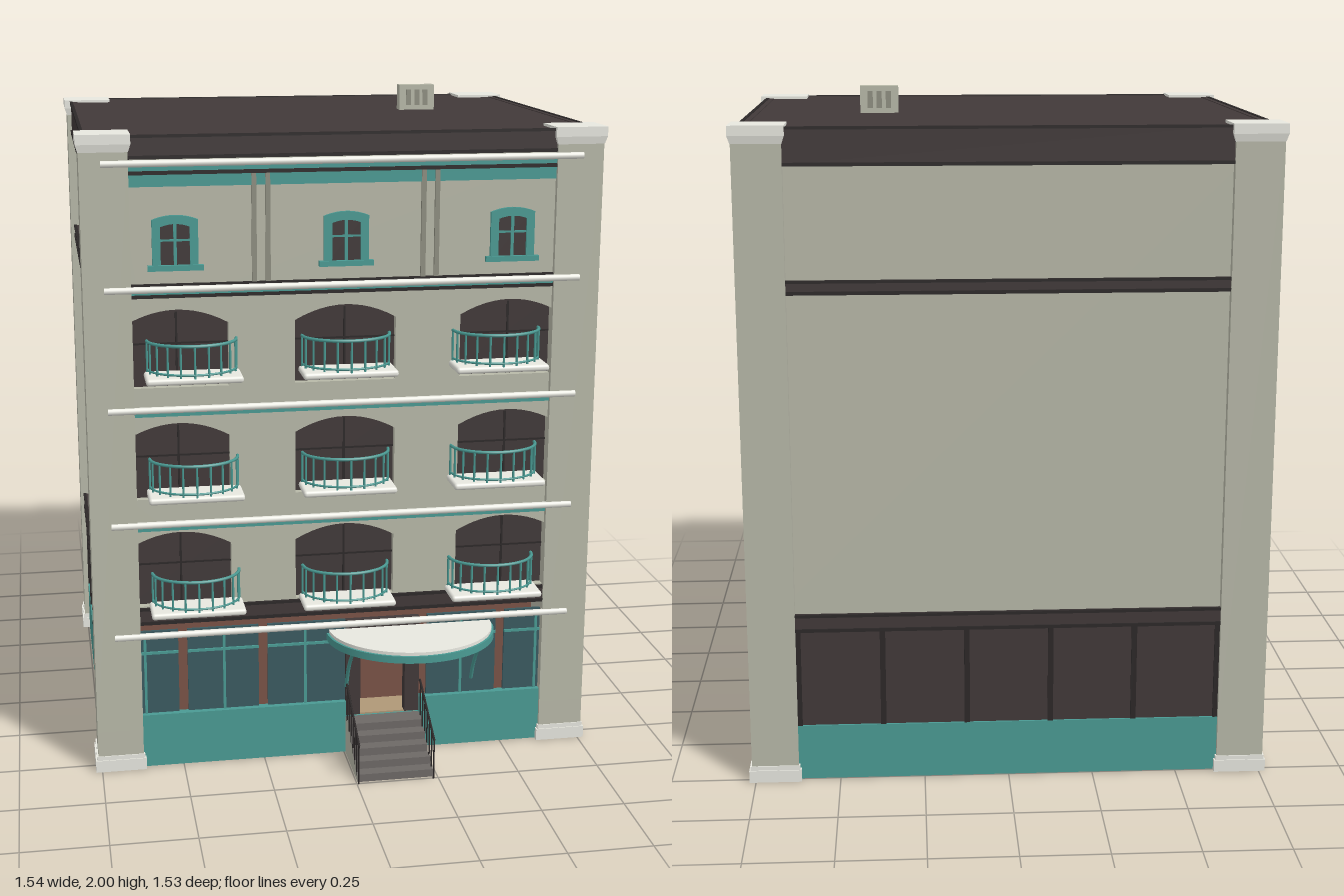
import * as THREE from 'three';
import { RoundedBoxGeometry } from 'three/addons/geometries/RoundedBoxGeometry.js';

const mat = (name, color) => {
  const m = new THREE.MeshStandardMaterial({ color });
  m.name = name;
  return m;
};

export function createModel() {
  const stone = mat('stone', 0xb7b8a8), shadeStone = mat('shadedStone', 0x8e8e80);
  const pale = mat('paleStone', 0xe7e7df), dark = mat('charcoal', 0x413939);
  const trim = mat('blackTrim', 0x2c2828), teal = mat('teal', 0x4a9a93);
  const brick = mat('redBrown', 0x7a5246), glass = mat('shopGlass', 0x3a5a60);
  const floorMat = mat('floorBrown', 0xaf9877), stepMat = mat('stepGrey', 0x6d6966);

  const model = new THREE.Group();
  model.name = 'cornerHotel';
  const group = (name, parent = model) => {
    const g = new THREE.Group();
    g.name = name;
    parent.add(g);
    return g;
  };
  const add = (parent, name, geo, m, x = 0, y = 0, z = 0) => {
    const mesh = new THREE.Mesh(geo, m);
    mesh.name = name;
    mesh.position.set(x, y, z);
    parent.add(mesh);
    return mesh;
  };
  // Box given by its limits on each axis
  const box = (parent, name, m, x0, x1, y0, y1, z0, z1) =>
    add(parent, name, new THREE.BoxGeometry(Math.abs(x1 - x0), y1 - y0, Math.abs(z1 - z0)), m,
      (x0 + x1) / 2, (y0 + y1) / 2, (z0 + z1) / 2);
  const tube = (parent, name, m, pts, r, n = 20) =>
    add(parent, name, new THREE.TubeGeometry(new THREE.CatmullRomCurve3(
      pts.map(p => new THREE.Vector3(...p))), n, r, 6), m);
  // Rectangular tapered block with flat faces
  const taper = (w0, d0, w1, d1, h) => {
    const g = new THREE.BoxGeometry(1, h, 1).toNonIndexed();
    const p = g.attributes.position;
    for (let i = 0; i < p.count; i++) {
      const top = p.getY(i) > 0;
      p.setX(i, p.getX(i) * (top ? w1 : w0));
      p.setZ(i, p.getZ(i) * (top ? d1 : d0));
    }
    g.computeVertexNormals();
    return g;
  };

  // Core, roof and hollow underside
  box(model, 'upperCore', stone, -0.73, 0.73, 0.468, 1.9, -0.74, 0.49);
  box(model, 'shopCore', brick, -0.72, 0.72, 0.125, 0.468, -0.73, 0.42);
  box(model, 'roof', dark, -0.742, 0.742, 1.895, 1.92, -0.75, 0.53);
  box(model, 'floor', floorMat, -0.73, 0.73, 0.117, 0.125, -0.74, 0.525);
  box(model, 'innerFront', brick, -0.73, 0.73, 0.001, 0.12, 0.514, 0.521);
  box(model, 'innerBack', brick, -0.73, 0.73, 0.001, 0.12, -0.74, -0.733);
  for (const s of [-1, 1]) box(model, 'innerSide', brick, s * 0.723, s * 0.73, 0.001, 0.12, -0.74, 0.52);
  for (let i = 0; i < 4; i++)
    box(model, 'innerGlassStrip', glass, -0.41 + i * 0.22, -0.2 + i * 0.22, 0.08, 0.118, 0.511, 0.514);
  box(model, 'chimney', stone, 0.305, 0.42, 1.91, 2, -0.222, -0.18);
  for (const x of [0.335, 0.363, 0.39])
    box(model, 'chimneySlot', shadeStone, x - 0.008, x + 0.008, 1.935, 1.985, -0.2235, -0.1785);

  // Corner piers: solid shaft and cap above, an outer shell around the hollow base
  for (const sx of [-1, 1]) for (const sz of [-1, 1]) {
    const g = group('cornerPier');
    g.position.set(sx * 0.692, 0, -0.11 + sz * 0.593);
    const shell = (name, m, w, d, y0, y1) => {
      box(g, name + 'Side', m, sx * 0.038, sx * w, y0, y1, -d, d);
      box(g, name + 'Face', m, -w, w, y0, y1, sz * 0.038, sz * d);
    };
    shell('plinth', pale, 0.077, 0.068, 0, 0.037);
    shell('plinthStep', pale, 0.073, 0.065, 0.037, 0.05);
    shell('lowerShaft', stone, 0.069, 0.062, 0.05, 0.13);
    box(g, 'shaft', stone, -0.069, 0.069, 0.13, 1.89, -0.062, 0.062);
    add(g, 'capTaper', taper(0.14, 0.126, 0.154, 0.136, 0.022), pale, 0, 1.889, 0);
    add(g, 'cap', new THREE.BoxGeometry(0.154, 0.028, 0.136), pale, 0, 1.914, 0);
  }

  // Dark band with thin lips, shared by every facade
  const band = (g, h, y0, y1, z) => {
    box(g, 'band', dark, -h, h, y0, y1, z - 0.01, z + 0.012);
    box(g, 'bandLowerLip', trim, -h, h, y0 - 0.004, y0 + 0.006, z - 0.01, z + 0.016);
    box(g, 'bandUpperLip', trim, -h, h, y1 - 0.006, y1 + 0.002, z + 0.006, z + 0.016);
  };
  // Plain facade facing +z, with five base panels
  const plainFacade = (name, h, x, z, turn) => {
    const g = group(name);
    g.position.set(x, 0, z);
    g.rotation.y = turn;
    box(g, 'basePlinth', teal, -h, h, 0.002, 0.17, -0.005, 0.01);
    box(g, 'basePanels', dark, -h, h, 0.17, 0.465, -0.015, 0.004);
    for (let i = 0; i <= 5; i++) {
      const p = -h + 0.008 + i * (2 * h - 0.016) / 5;
      box(g, 'panelStrip', trim, p - 0.008, p + 0.008, 0.17, 0.465, -0.015, 0.01);
    }
    band(g, h, 0.468, 0.515, 0);
    band(g, h, 1.463, 1.498, 0);
    band(g, h, 1.82, 1.922, 0);
  };
  plainFacade('rightFacade', 0.54, 0.735, -0.11, Math.PI / 2);
  plainFacade('leftFacade', 0.54, -0.735, -0.11, -Math.PI / 2);
  plainFacade('backFacade', 0.625, 0, -0.743, Math.PI);

  // Front wall with arched openings
  const front = group('frontFacade');
  const arch = (P, x, y0, y1, y2, w) => {
    const s = new P();
    s.moveTo(x - w, y0);
    s.lineTo(x + w, y0);
    s.lineTo(x + w, y1);
    s.quadraticCurveTo(x, 2 * y2 - y1, x - w, y1);
    s.closePath();
    return s;
  };
  const wall = new THREE.Shape([[-0.66, 0.5], [0.66, 0.5], [0.66, 1.86], [-0.66, 1.86]]
    .map(p => new THREE.Vector2(...p)));
  const floors = [0.52, 0.855, 1.193], columns = [-0.495, 0, 0.495];
  for (const y of floors) for (const x of columns)
    wall.holes.push(arch(THREE.Path, x, y, y + 0.188, y + 0.23, 0.15));
  add(front, 'frontWall', new THREE.ExtrudeGeometry(wall, { depth: 0.035, bevelEnabled: false, curveSegments: 12 }),
    stone, 0, 0, 0.493);
  box(front, 'windowBacking', dark, -0.66, 0.66, 0.515, 1.44, 0.488, 0.505);

  // Balconies and arched window bars
  floors.forEach((y, f) => columns.forEach(x => {
    box(front, 'windowBar', trim, x - 0.003, x + 0.003, y, y + 0.22, 0.504, 0.509);
    box(front, 'windowTransom', trim, x - 0.15, x + 0.15, y + 0.125, y + 0.13, 0.504, 0.509);
    const g = group('balcony', front);
    g.position.set(x * 0.915, [0.513, 0.868, 1.223][f], 0.53);
    add(g, 'balconySlab', new RoundedBoxGeometry(0.28, 0.02, 0.115, 3, 0.009), pale, 0, 0.01, 0.045);
    const at = (a, h) => [-0.13 * Math.cos(a), h, 0.1 * Math.sin(a)];
    const ring = h => Array.from({ length: 13 }, (_, i) => at(i * Math.PI / 12, h));
    tube(g, 'topRail', teal, ring(0.112), 0.005, 28);
    tube(g, 'bottomRail', teal, ring(0.028), 0.0035, 28);
    for (let i = 0; i <= 10; i++) {
      const p = at(i * Math.PI / 10, 0.065);
      add(g, 'baluster', new THREE.CylinderGeometry(0.0035, 0.0035, 0.095, 6), teal, ...p);
    }
  }));

  // Rounded string courses
  for (const y of [0.43, 0.78, 1.13, 1.485, 1.845]) {
    const bar = new THREE.CylinderGeometry(0.01, 0.01, 1.4, 16).rotateZ(Math.PI / 2);
    add(front, 'stringCourse', bar, pale, 0, y, 0.543);
    if (y > 0.5) box(front, 'courseUnderTrim', teal, -0.625, 0.625, y - 0.022, y - 0.01, 0.52, 0.536);
  }
  band(front, 0.625, 1.463, 1.498, 0.522);
  band(front, 0.625, 1.86, 1.922, 0.522);
  band(front, 0.625, 0.468, 0.515, 0.524);
  box(front, 'tealFrieze', teal, -0.625, 0.625, 1.778, 1.812, 0.52, 0.534);
  box(front, 'friezeLine', trim, -0.625, 0.625, 1.812, 1.822, 0.52, 0.538);

  // Attic pilasters and small windows
  for (const s of [-1, 1]) for (const dx of [-0.02, 0.02])
    box(front, 'pilaster', shadeStone, s * 0.248 + dx - 0.007, s * 0.248 + dx + 0.007, 1.5, 1.812, 0.52, 0.536);
  for (const x of columns) {
    const g = group('atticWindow', front);
    const frame = arch(THREE.Shape, 0, 0, 0.132, 0.145, 0.066);
    frame.holes.push(arch(THREE.Path, 0, 0.002, 0.112, 0.12, 0.042));
    add(g, 'windowFrame', new THREE.ExtrudeGeometry(frame, { depth: 0.012, bevelEnabled: false }), teal);
    box(g, 'windowPane', dark, -0.05, 0.05, 0.002, 0.125, 0, 0.005);
    box(g, 'mullion', teal, -0.0045, 0.0045, 0, 0.12, 0.002, 0.009);
    box(g, 'windowCrossbar', teal, -0.044, 0.044, 0.07, 0.076, 0.002, 0.009);
    box(g, 'windowSill', teal, -0.08, 0.08, -0.014, 0.002, 0, 0.018);
    g.position.set(x, 1.552, 0.526);
  }

  // Shop front: glass panels with gaps that show the brown core behind
  const shop = group('shopFront');
  box(shop, 'shopBase', teal, -0.625, 0.625, 0.002, 0.12, 0.52, 0.535);
  for (const [a, b] of [[-0.625, 0.005], [0.235, 0.625]])
    box(shop, 'shopBaseUpper', teal, a, b, 0.12, 0.17, 0.51, 0.535);
  for (const [a, b] of [[-0.625, -0.509], [-0.481, -0.264], [-0.236, 0.005], [0.262, 0.481], [0.509, 0.625]]) {
    box(shop, 'shopGlazing', glass, a, b, 0.17, 0.436, 0.51, 0.518);
    box(shop, 'shopTransom', teal, a, b, 0.362, 0.37, 0.512, 0.523);
  }
  for (const x of [-0.37, -0.12, 0.37, 0.61, -0.61])
    box(shop, 'shopMullion', teal, x - 0.004, x + 0.004, 0.17, 0.425, 0.512, 0.523);

  // Recessed entrance with dark jambs
  for (const x of [0.005, 0.19]) box(shop, 'doorJamb', dark, x, x + 0.045, 0.125, 0.375, 0.5, 0.535);
  box(shop, 'doorHead', dark, 0.005, 0.235, 0.37, 0.436, 0.51, 0.53);

  // Entrance steps and handrails
  const entry = group('entrance');
  const profile = [[0.52, 0], [0.74, 0]];
  for (let i = 0; i < 5; i++) {
    const z = 0.74 - i * 0.037;
    profile.push([z, (i + 1) * 0.024], [z - 0.037, (i + 1) * 0.024]);
  }
  profile.push([0.52, 0.12]);
  const steps = add(entry, 'steps', new THREE.ExtrudeGeometry(
    new THREE.Shape(profile.map(p => new THREE.Vector2(...p))), { depth: 0.232, bevelEnabled: false }),
    [stone, stepMat], 0.236, 0, 0);
  steps.rotation.y = -Math.PI / 2;
  for (const x of [0.005, 0.235]) {
    tube(entry, 'handrail', trim, [[x, 0.125, 0.757], [x, 0.235, 0.55]], 0.0035, 2);
    for (let i = 0; i < 7; i++) {
      const z = 0.752 - i * 0.032, top = 0.128 + i * 0.017;
      const foot = Math.min(0.12, Math.max(0, (0.74 - z) * 0.65));
      add(entry, 'railPost', new THREE.CylinderGeometry(0.0025, 0.0025, top - foot, 5), trim, x, (top + foot) / 2, z);
    }
  }

  // Half-round canopy with curved brackets
  const half = (rx, rz, h) => new THREE.CylinderGeometry(1, 1, h, 40, 1, false, -Math.PI / 2, Math.PI).scale(rx, 1, rz);
  add(entry, 'canopyTop', half(0.253, 0.22, 0.02), pale, 0.205, 0.4, 0.53);
  add(entry, 'canopyRim', half(0.26, 0.227, 0.022), teal, 0.205, 0.389, 0.53);
  for (const x of [0.005, 0.4])
    tube(entry, 'canopyBracket', teal, [[x, 0.38, 0.65], [x, 0.33, 0.6], [x, 0.28, 0.565], [x, 0.225, 0.54]], 0.006);

  return model;
}
